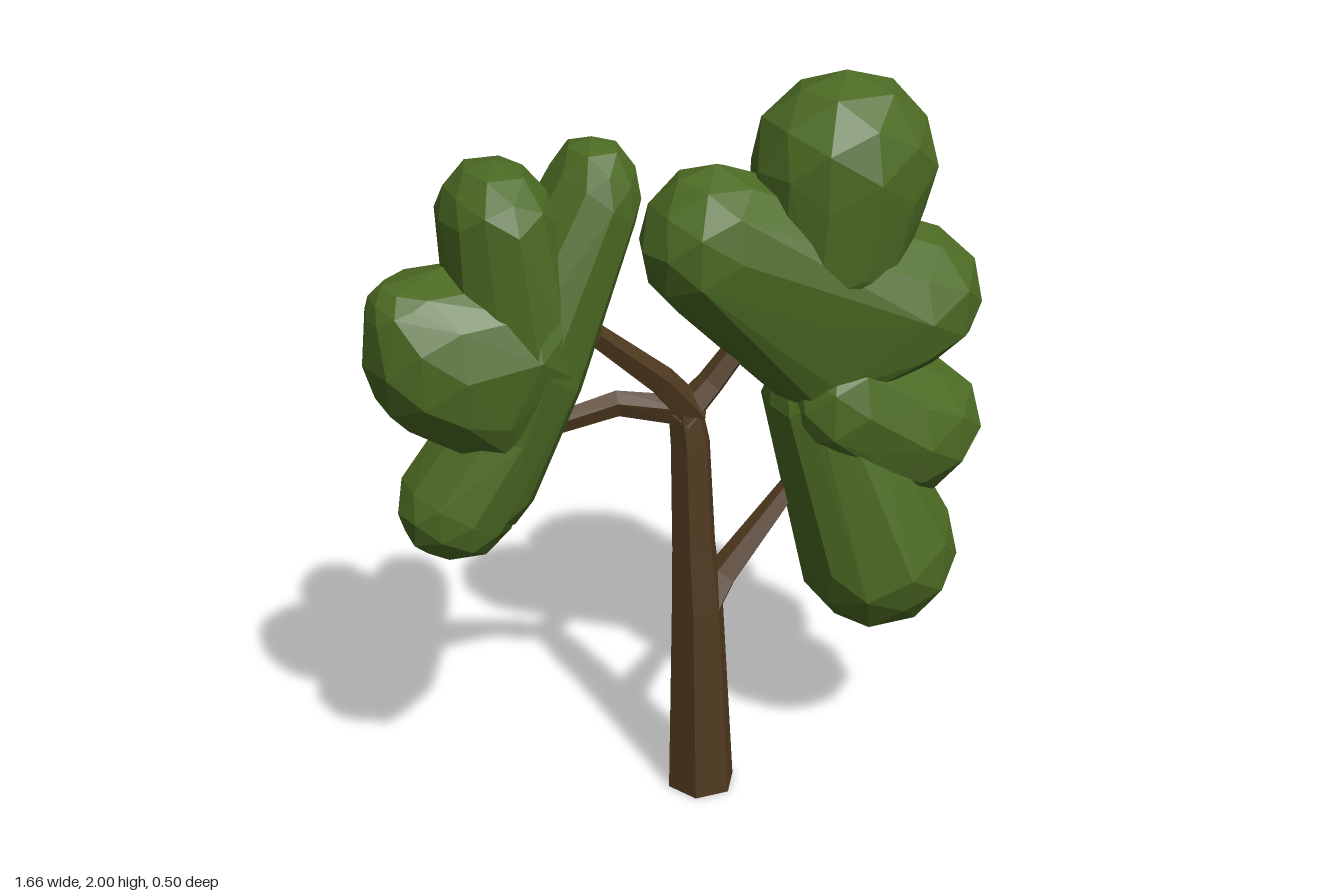
import * as THREE from 'three';
import { ConvexGeometry } from 'three/addons/geometries/ConvexGeometry.js';

const bark = new THREE.MeshStandardMaterial({ color: 0x503a20 });
bark.name = 'bark brown';
const leaf = new THREE.MeshStandardMaterial({ color: 0x4c6b23 });
leaf.name = 'leaf green';

// small seeded generator for the uneven leaf lumps
function seeded(seed) {
  return () => {
    seed = (seed * 16807) % 2147483647;
    return seed / 2147483647;
  };
}

// faceted limb: rings of `sides` corners along stations [x, y, z, radius]
function limb(name, stations, sides = 6) {
  const pts = stations.map(s => new THREE.Vector3(s[0], s[1], s[2]));
  const n = pts.length;
  const pos = [];
  const index = [];
  pts.forEach((p, i) => {
    const t = pts[Math.min(i + 1, n - 1)].clone().sub(pts[Math.max(i - 1, 0)]).normalize();
    if (name === 'trunk') t.set(0, 1, 0);
    const u = new THREE.Vector3(0, 0, 1).addScaledVector(t, -t.z).normalize();
    const w = new THREE.Vector3().crossVectors(t, u);
    for (let j = 0; j < sides; j++) {
      const a = (j / sides) * Math.PI * 2;
      const r = stations[i][3];
      const q = p.clone().addScaledVector(w, r * Math.cos(a)).addScaledVector(u, r * Math.sin(a));
      pos.push(q.x, q.y, q.z);
    }
  });
  for (let i = 0; i < n - 1; i++) {
    for (let j = 0; j < sides; j++) {
      const a = i * sides + j, b = i * sides + (j + 1) % sides;
      index.push(a, a + sides, b, b, a + sides, b + sides);
    }
  }
  // end caps
  const top = (n - 1) * sides;
  for (let j = 1; j < sides - 1; j++) {
    index.push(0, j, j + 1, top, top + j + 1, top + j);
  }
  const indexed = new THREE.BufferGeometry();
  indexed.setAttribute('position', new THREE.Float32BufferAttribute(pos, 3));
  indexed.setIndex(index);
  const geo = indexed.toNonIndexed();
  geo.computeVertexNormals();
  const mesh = new THREE.Mesh(geo, bark);
  mesh.name = name;
  return mesh;
}

// leaf lump: hull around a few uneven balls, [x, y, z, rx, ry, rz]
function lump(name, balls, seed) {
  const rand = seeded(seed);
  const points = [];
  for (const [x, y, z, rx, ry, rz] of balls) {
    const ico = new THREE.IcosahedronGeometry(1, 1).attributes.position;
    const seen = new Set();
    for (let i = 0; i < ico.count; i++) {
      const v = new THREE.Vector3().fromBufferAttribute(ico, i);
      const key = v.toArray().map(c => Math.round(c * 100)).join();
      if (seen.has(key)) continue;
      seen.add(key);
      v.multiplyScalar(0.95 + 0.07 * rand());
      points.push(new THREE.Vector3(x + v.x * rx, y + v.y * ry, z + v.z * rz));
    }
  }
  const mesh = new THREE.Mesh(new ConvexGeometry(points), leaf);
  mesh.name = name;
  return mesh;
}

function crown(name, lumps, seed) {
  const group = new THREE.Group();
  group.name = name;
  lumps.forEach(([part, ...balls], i) => group.add(lump(part, balls, seed + i * 977)));
  return group;
}

export function createModel() {
  const tree = new THREE.Group();
  tree.name = 'tree';

  // trunk and branches
  const wood = new THREE.Group();
  wood.name = 'wood';
  wood.add(
    limb('trunk', [
      [0.045, 0, -0.01, 0.096], [0.033, 0.56, -0.01, 0.074], [0.022, 0.75, -0.01, 0.061],
      [0.012, 1.05, -0.01, 0.054], [-0.005, 1.17, -0.01, 0.044],
    ]),
    limb('lowerLeftBranch', [[0.04, 0.56, -0.01, 0.065], [0.11, 0.64, -0.02, 0.045], [0.33, 0.87, -0.05, 0.028]], 5),
    limb('upperLeftBranch', [[-0.02, 1.12, -0.01, 0.047], [0.07, 1.21, -0.01, 0.038], [0.24, 1.42, 0, 0.028]], 5),
    limb('upperRightBranch', [[0.02, 1.13, -0.01, 0.047], [-0.08, 1.25, 0.02, 0.04], [-0.27, 1.42, 0.07, 0.03]], 5),
    limb('lowerRightBranch', [[0.01, 1.14, -0.01, 0.042], [-0.17, 1.17, -0.06, 0.035], [-0.42, 1.11, -0.09, 0.027]], 5),
  );
  tree.add(wood);

  // large crown on the left
  tree.add(crown('leftCrown', [
    ['topLump', [0.41, 1.765, 0.02, 0.24, 0.235, 0.22], [0.38, 1.52, 0, 0.2, 0.16, 0.22]],
    ['middleLump', [0.08, 1.585, -0.01, 0.195, 0.205, 0.19], [0.57, 1.385, 0, 0.24, 0.2, 0.245],
      [0.28, 1.4, -0.03, 0.19, 0.17, 0.22], [0.35, 1.21, 0, 0.11, 0.12, 0.16]],
    ['lowerOuterLump', [0.6, 1.02, 0, 0.228, 0.21, 0.215], [0.42, 1.14, 0.02, 0.17, 0.2, 0.195]],
    ['bottomLump', [0.545, 0.665, 0.025, 0.222, 0.22, 0.225], [0.375, 1.12, -0.01, 0.147, 0.15, 0.175]],
  ], 4201));

  // small crown on the right
  tree.add(crown('rightCrown', [
    ['innerLump', [-0.25, 1.76, 0.02, 0.115, 0.145, 0.155], [-0.43, 1.38, 0.01, 0.155, 0.2, 0.2],
      [-0.53, 1.06, 0.01, 0.125, 0.14, 0.15]],
    ['topLump', [-0.49, 1.735, 0.01, 0.14, 0.135, 0.2], [-0.46, 1.43, 0.01, 0.165, 0.18, 0.22]],
    ['outerLump', [-0.63, 1.4, 0.015, 0.2, 0.23, 0.215], [-0.725, 1.52, 0.02, 0.095, 0.085, 0.13],
      [-0.45, 1.43, 0.01, 0.16, 0.2, 0.22], [-0.53, 1.26, 0.01, 0.13, 0.15, 0.19]],
    ['bottomLump', [-0.62, 1.0, 0.02, 0.155, 0.145, 0.15], [-0.49, 1.2, 0.01, 0.12, 0.14, 0.17]],
  ], 9103));

  return tree;
}
